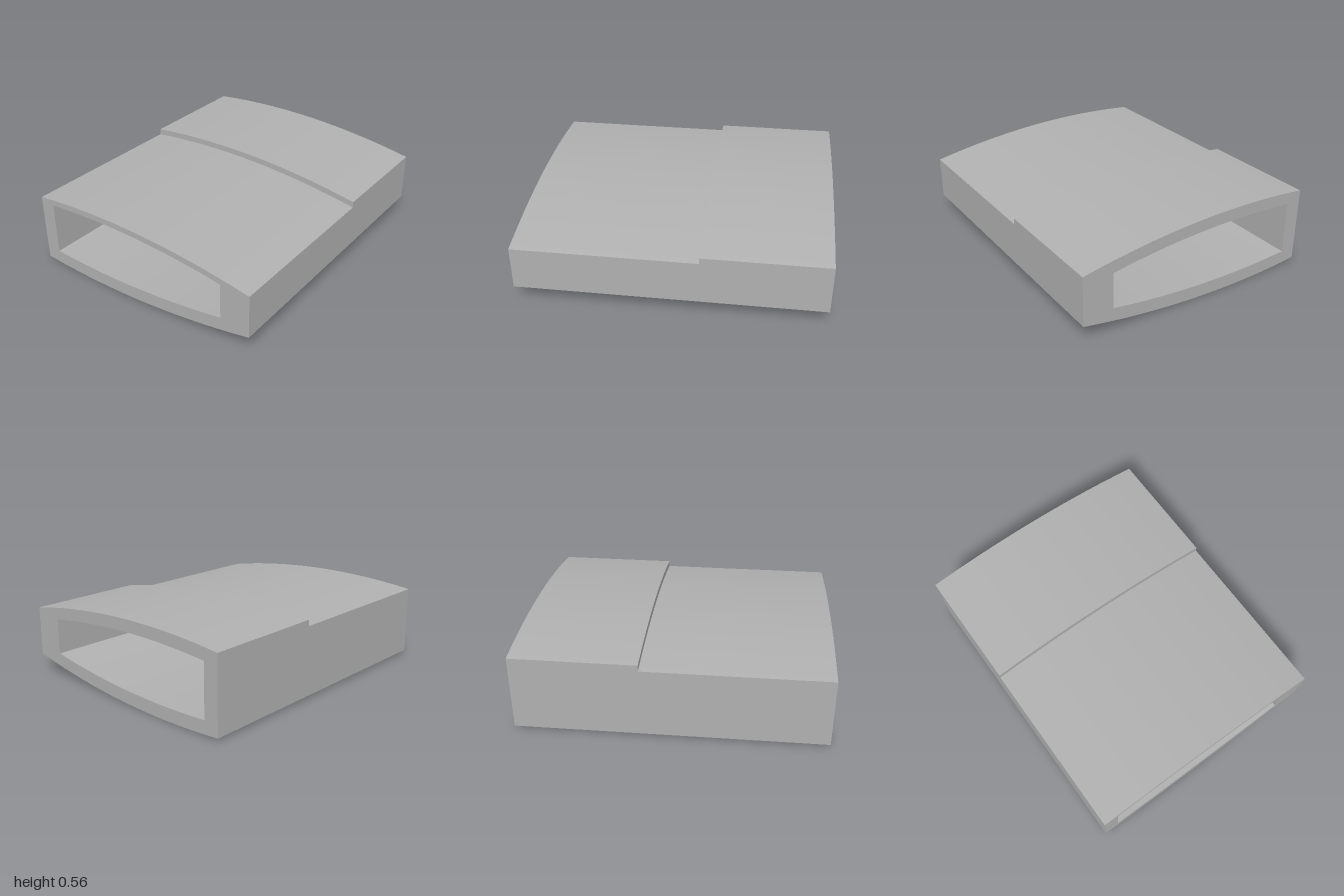
import * as THREE from 'three';

// gentle crown and belly curves of the sleeve
const crown = (x) => 0.56 - 0.094 * (x + 0.24) ** 2;
const belly = (x) => 0.09 * (x + 0.33) ** 2;

// closed outline between the two curves, counter-clockwise
function outline(x0, x1, drop, rise, steps = 40) {
  const pts = [];
  for (let i = 0; i <= steps; i++) {
    const x = x0 + ((x1 - x0) * i) / steps;
    pts.push(new THREE.Vector2(x, belly(x) + rise));
  }
  for (let i = steps; i >= 0; i--) {
    const x = x0 + ((x1 - x0) * i) / steps;
    pts.push(new THREE.Vector2(x, crown(x) - drop));
  }
  return pts;
}

export function createModel() {
  const group = new THREE.Group();
  const grey = new THREE.MeshStandardMaterial({ color: 0xb0b0b0 });
  grey.name = 'grey';

  function extrude(name, shape, z0, z1) {
    const geo = new THREE.ExtrudeGeometry(shape, { depth: z1 - z0, bevelEnabled: false });
    geo.translate(0, 0, z0);
    const mesh = new THREE.Mesh(geo, grey);
    mesh.name = name;
    group.add(mesh);
  }

  // lower front section and raised rear section, each a hollow sleeve with a side strip
  const sections = [
    { name: 'front', z0: -0.19, z1: 1, drop: 0.041 },
    { name: 'rear', z0: -1, z1: -0.19, drop: 0 },
  ];
  for (const { name, z0, z1, drop } of sections) {
    const shell = new THREE.Shape(outline(-0.83, 0.755, drop, 0));
    shell.holes.push(new THREE.Path(outline(-0.727, 0.627, 0.081, 0.088).reverse()));
    extrude(name + 'Sleeve', shell, z0, z1);
    extrude(name + 'SideStrip', new THREE.Shape(outline(0.755, 0.83, drop, 0, 4)), z0, z1);
  }
  return group;
}
